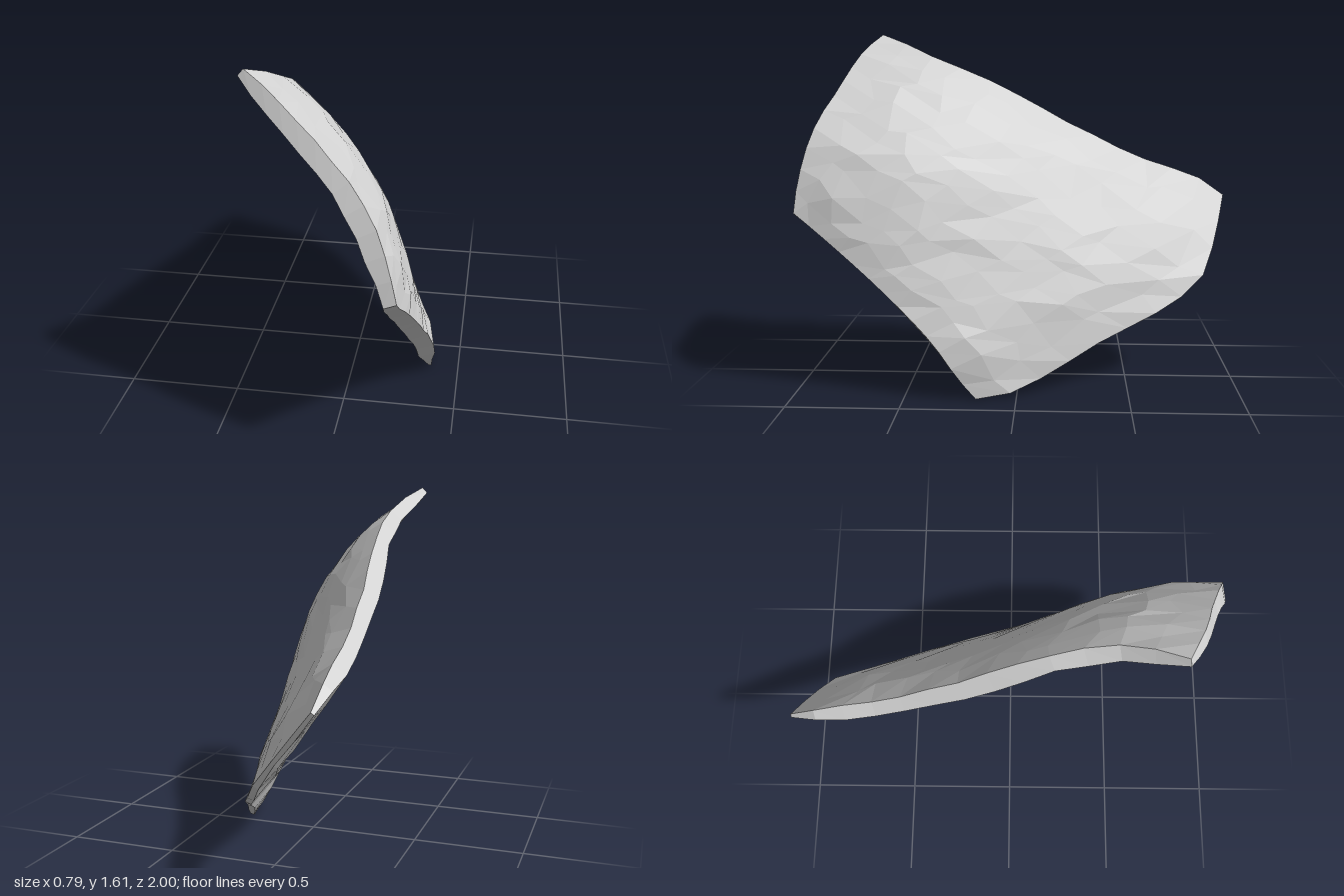
import * as THREE from 'three';

const NU = 13, NV = 11, HALF = 0.056;

const curve = (pts) => new THREE.CatmullRomCurve3(pts.map((p) => new THREE.Vector3(...p)));

// The four corners and the four edges of the curved shard
const A = [-0.35, 1.605, 0.69], B = [0.265, 0.82, 0.995], C = [0.365, 0.01, 0.18], D = [-0.35, 0.83, -0.995];
const topEdge = curve([A, [-0.27, 1.48, 0.42], [-0.28, 1.385, 0.18], [-0.335, 1.175, -0.2], [-0.365, 0.995, -0.58],
  [-0.37, 0.885, -0.91], D]);
const frontEdge = curve([A, [-0.2, 1.49, 0.78], [-0.03, 1.34, 0.85], [0.12, 1.17, 0.93], [0.22, 0.96, 0.98], B]);
const lowerFrontEdge = curve([B, [0.275, 0.66, 0.8], [0.305, 0.49, 0.61], [0.345, 0.26, 0.38], [0.36, 0.1, 0.26], C]);
const lowerBackEdge = curve([D, [-0.18, 0.62, -0.93], [-0.06, 0.46, -0.85], [0.075, 0.31, -0.6],
  [0.145, 0.24, -0.42], [0.255, 0.1, -0.15], [0.325, 0.035, 0], C]);
const corners = [A, D, B, C].map((p) => new THREE.Vector3(...p));

// Smooth patch spanned between the four edges
function patch(u, v) {
  const p = new THREE.Vector3();
  p.addScaledVector(topEdge.getPointAt(u), 1 - v).addScaledVector(lowerFrontEdge.getPointAt(u), v);
  p.addScaledVector(frontEdge.getPointAt(v), 1 - u).addScaledVector(lowerBackEdge.getPointAt(v), u);
  const weights = [(1 - u) * (1 - v), u * (1 - v), (1 - u) * v, u * v];
  corners.forEach((c, i) => p.addScaledVector(c, -weights[i]));
  return p;
}

// Direction pointing out of the convex side
function patchNormal(u, v) {
  const e = 0.04;
  const u0 = Math.max(0, u - e), u1 = Math.min(1, u + e);
  const v0 = Math.max(0, v - e), v1 = Math.min(1, v + e);
  const du = patch(u1, v).sub(patch(u0, v));
  const dv = patch(u, v1).sub(patch(u, v0));
  return dv.cross(du).normalize();
}

// Half thickness: thin at the corners and lower back, blunt along the other edges, full inside
function halfThickness(u, v) {
  const du = Math.min(u, 1 - u), dv = Math.min(v, 1 - v);
  const alongRim = Math.min(1, Math.max(du, dv) * 6);
  const inward = Math.min(1, Math.min(du, dv) * 8);
  const lowerBack = Math.min(1, 0.35 + (1 - u) * 4);
  return HALF * (0.4 + 0.3 * alongRim + 0.3 * inward) * lowerBack;
}

function seeded(seed) {
  let s = seed;
  return () => {
    s = (s * 16807) % 2147483647;
    return s / 2147483647 - 0.5;
  };
}

function shardGeometry() {
  const rand = seeded(421);
  const positions = [], index = [];
  const count = (NU + 1) * (NV + 1);
  const id = (i, j, side) => side * count + i * (NV + 1) + j;

  // Convex side first, hollow side second, both slightly rough
  for (const side of [1, -1]) {
    for (let i = 0; i <= NU; i++) {
      for (let j = 0; j <= NV; j++) {
        const inside = i > 0 && i < NU && j > 0 && j < NV;
        const u = i / NU + (inside ? rand() * 0.6 / NU : 0);
        const v = j / NV + (inside ? rand() * 0.6 / NV : 0);
        // A broad crest near the front that flattens towards the back
        const swell = (0.012 * Math.sin(Math.PI * u) + 0.018 * Math.sin(2 * Math.PI * u)) * Math.sin(Math.PI * v);
        const rough = rand() * 0.012;
        const p = patch(u, v).addScaledVector(patchNormal(u, v), side * halfThickness(u, v) + swell + rough);
        positions.push(p.x, Math.max(0, p.y), p.z);
      }
    }
  }
  const quad = (a, b, c, d) => index.push(a, b, c, b, d, c);
  for (let i = 0; i < NU; i++) {
    for (let j = 0; j < NV; j++) {
      quad(id(i, j, 0), id(i, j + 1, 0), id(i + 1, j, 0), id(i + 1, j + 1, 0));
      quad(id(i, j, 1), id(i + 1, j, 1), id(i, j + 1, 1), id(i + 1, j + 1, 1));
    }
  }
  // Broken rim joining the two sides
  const loop = [];
  for (let i = 0; i < NU; i++) loop.push([i, 0]);
  for (let j = 0; j < NV; j++) loop.push([NU, j]);
  for (let i = NU; i > 0; i--) loop.push([i, NV]);
  for (let j = NV; j > 0; j--) loop.push([0, j]);
  loop.forEach(([i, j], k) => {
    const [m, n] = loop[(k + 1) % loop.length];
    quad(id(i, j, 0), id(m, n, 0), id(i, j, 1), id(m, n, 1));
  });

  const geometry = new THREE.BufferGeometry();
  geometry.setAttribute('position', new THREE.Float32BufferAttribute(positions, 3));
  geometry.setIndex(index);
  const faceted = geometry.toNonIndexed();
  faceted.computeVertexNormals();
  return faceted;
}

export function createModel() {
  const group = new THREE.Group();
  group.name = 'curvedShard';
  const stone = new THREE.MeshStandardMaterial({ color: 0xd2d2d2, flatShading: true });
  stone.name = 'paleGrey';
  const shard = new THREE.Mesh(shardGeometry(), stone);
  shard.name = 'shard';
  group.add(shard);
  return group;
}
